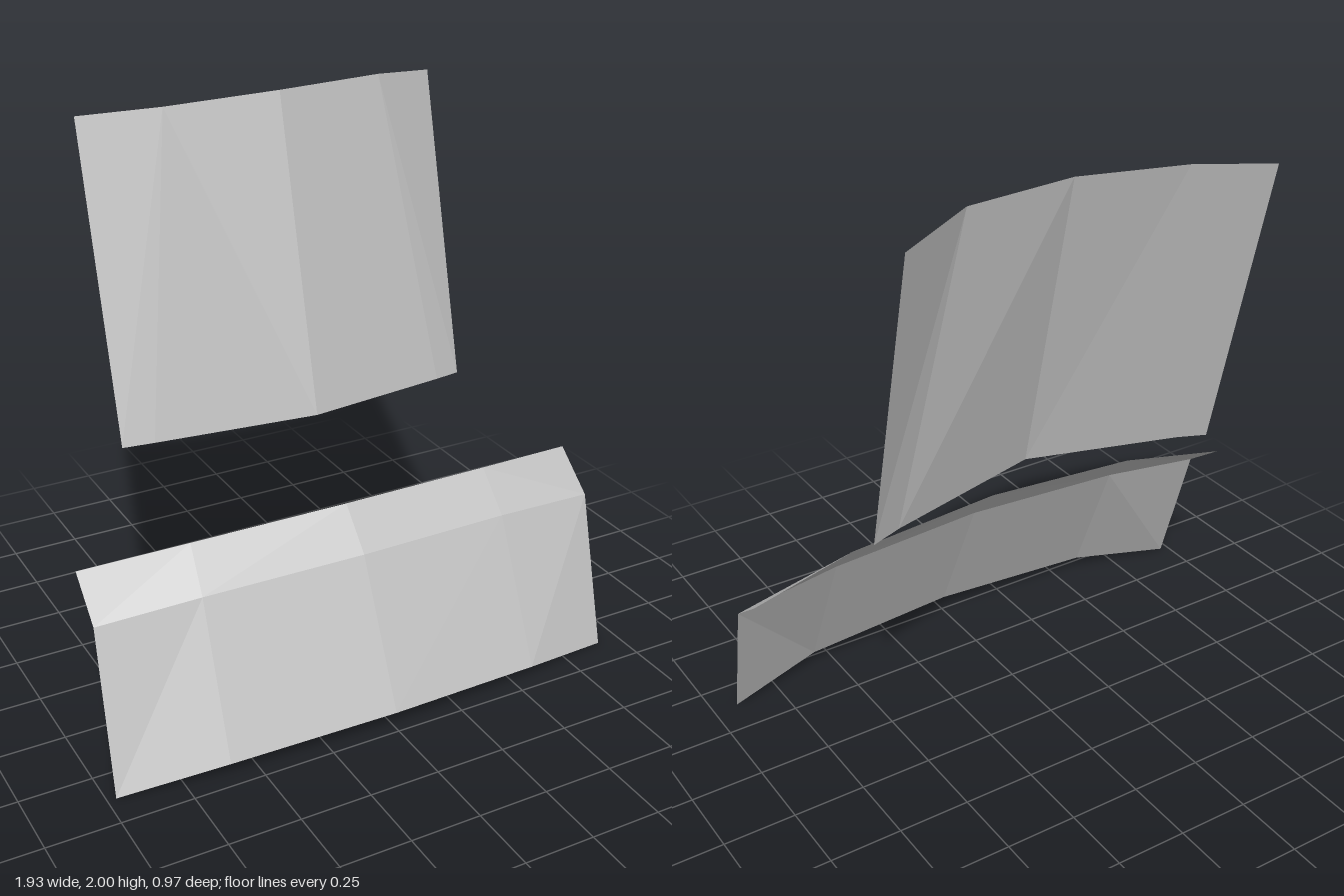
import * as THREE from 'three';

// Faceted sheet from rows of points (top to bottom, left to right).
// diagonals: per row, '\\' joins upper-left to lower-right, '/' the other way.
function sheet(name, rows, diagonals, material) {
  const columns = rows[0].length;
  const index = [];
  for (let r = 0; r < rows.length - 1; r++) {
    for (let c = 0; c < columns - 1; c++) {
      const a = r * columns + c, b = a + 1, d = a + columns, e = d + 1;
      if (diagonals[r][c] === '\\') index.push(a, d, e, a, e, b);
      else index.push(a, d, b, b, d, e);
    }
  }
  const indexed = new THREE.BufferGeometry();
  indexed.setAttribute('position', new THREE.Float32BufferAttribute(rows.flat(2), 3));
  indexed.setIndex(index);
  const geometry = indexed.toNonIndexed();
  geometry.computeVertexNormals();
  const mesh = new THREE.Mesh(geometry, material);
  mesh.name = name;
  return mesh;
}

export function createModel() {
  const grey = new THREE.MeshStandardMaterial({ color: 0xc0c0c0, side: THREE.DoubleSide, flatShading: true });
  grey.name = 'light grey';

  const group = new THREE.Group();
  group.name = 'curvedPanels';

  // Tall, leaning upper panel
  group.add(sheet('upperPanel', [
    [[-0.655, 1.96, -0.485], [-0.39, 1.98, -0.39], [0, 2, -0.335], [0.39, 2, -0.37], [0.655, 1.96, -0.485]],
    [[-0.655, 0.9, -0.225], [-0.55, 0.908, -0.195], [0, 0.935, -0.08], [0.55, 0.908, -0.195], [0.655, 0.9, -0.225]],
  ], ['/\\\\\\'], grey));

  // Wide lower panel with a folded-back upper strip
  group.add(sheet('lowerPanel', [
    [[-0.93, 0.635, 0.025], [-0.56, 0.675, 0.095], [0, 0.692, 0.127], [0.57, 0.675, 0.095], [0.965, 0.635, 0.025]],
    [[-0.94, 0.52, 0.19], [-0.58, 0.545, 0.225], [0, 0.557, 0.252], [0.57, 0.545, 0.225], [0.955, 0.515, 0.19]],
    [[-0.97, 0, 0.382], [-0.6, 0.048, 0.453], [0, 0.063, 0.483], [0.57, 0.048, 0.453], [0.915, 0, 0.382]],
  ], ['//\\\\', '/\\//'], grey));

  return group;
}
